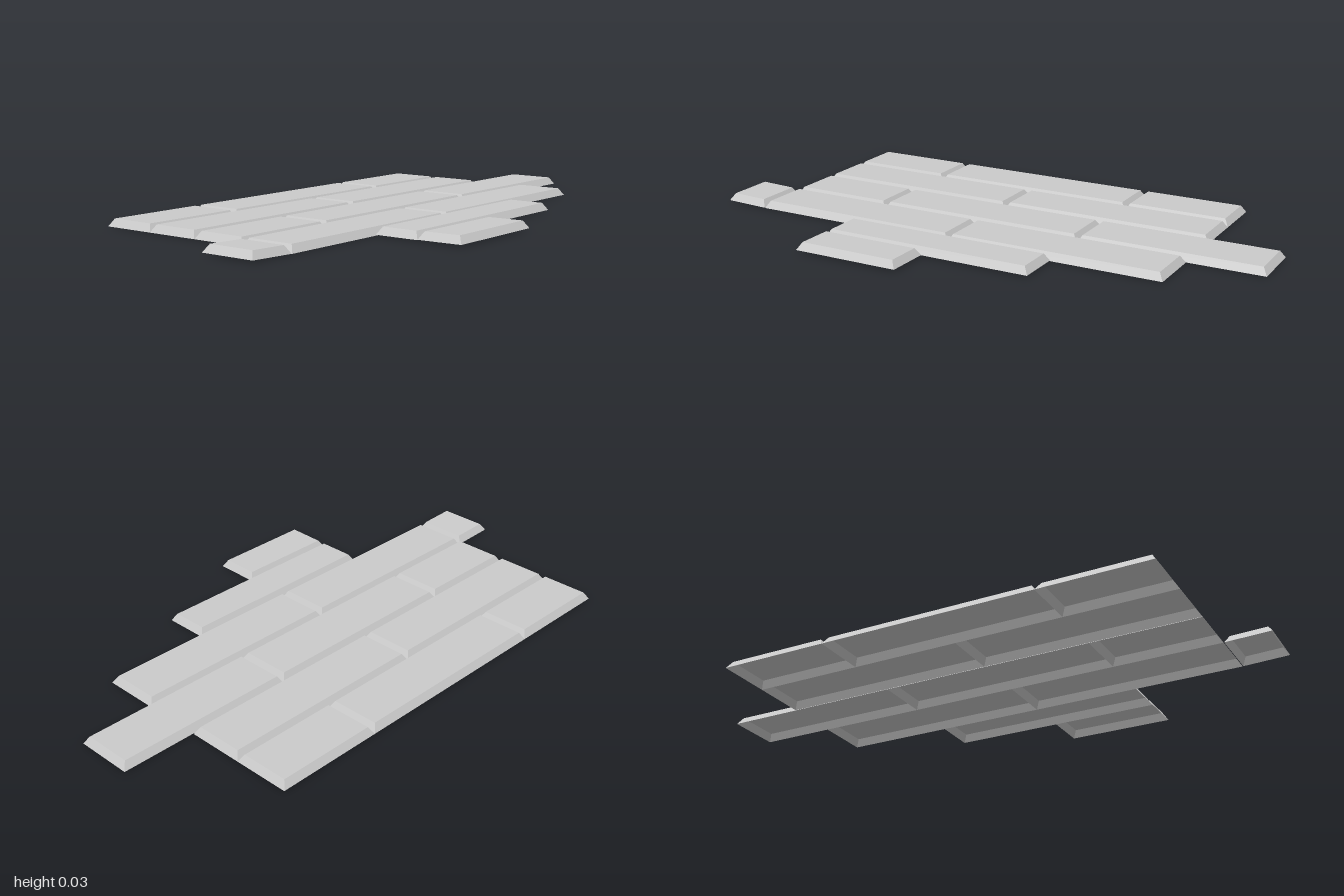
import * as THREE from 'three';

const HEIGHT = 0.026;
const BEVEL = 0.016;

// Hollow brick shell: wide open base, sloping sides, smaller flat top
function brickGeometry(width, depth) {
  const geo = new THREE.BoxGeometry(width, HEIGHT, depth);
  geo.translate(0, HEIGHT / 2, 0);
  const p = geo.attributes.position;
  for (let i = 0; i < p.count; i++) {
    if (p.getY(i) < HEIGHT / 2) continue;
    p.setX(i, p.getX(i) - Math.sign(p.getX(i)) * BEVEL);
    p.setZ(i, p.getZ(i) - Math.sign(p.getZ(i)) * BEVEL);
  }
  // drop the bottom face (fourth side of the box)
  const index = Array.from(geo.index.array);
  index.splice(18, 6);
  geo.setIndex(index);
  geo.clearGroups();
  geo.computeVertexNormals();
  return geo;
}

export function createModel() {
  const model = new THREE.Group();
  model.name = 'brickPatch';
  const material = new THREE.MeshStandardMaterial({
    color: 0xcccccc, flatShading: true, side: THREE.DoubleSide,
  });

  // Courses from back to front: z range, joints along x, lift and tilt of loose bricks
  const courses = [
    { z: [-0.57, -0.368], x: [-0.835, -0.443, 0.335, 0.73] },
    { z: [-0.368, -0.166], x: [-0.835, -0.055, 0.73] },
    { z: [-0.164, 0.04], x: [-0.835, -0.443, 0.335, 1] },
    { z: [0.04, 0.243], x: [-0.835, -0.055, 0.73] },
    { z: [0.04, 0.243], x: [-1, -0.837], lift: 0.003, tiltZ: -0.03 },
    { z: [0.243, 0.406], x: [-0.443, 0.338], lift: 0.003 },
    { z: [0.406, 0.57], x: [-0.443, -0.055], lift: 0.005, tiltX: -0.01 },
  ];

  courses.forEach(({ z, x, lift = 0, tiltX = 0, tiltZ = 0 }, row) => {
    const course = new THREE.Group();
    course.name = `course${row + 1}`;
    for (let i = 0; i + 1 < x.length; i++) {
      const brick = new THREE.Mesh(brickGeometry(x[i + 1] - x[i], z[1] - z[0]), material);
      brick.name = `brick${i + 1}`;
      brick.position.set((x[i] + x[i + 1]) / 2, lift, (z[0] + z[1]) / 2);
      brick.rotation.set(tiltX, 0, tiltZ);
      course.add(brick);
    }
    model.add(course);
  });
  return model;
}
